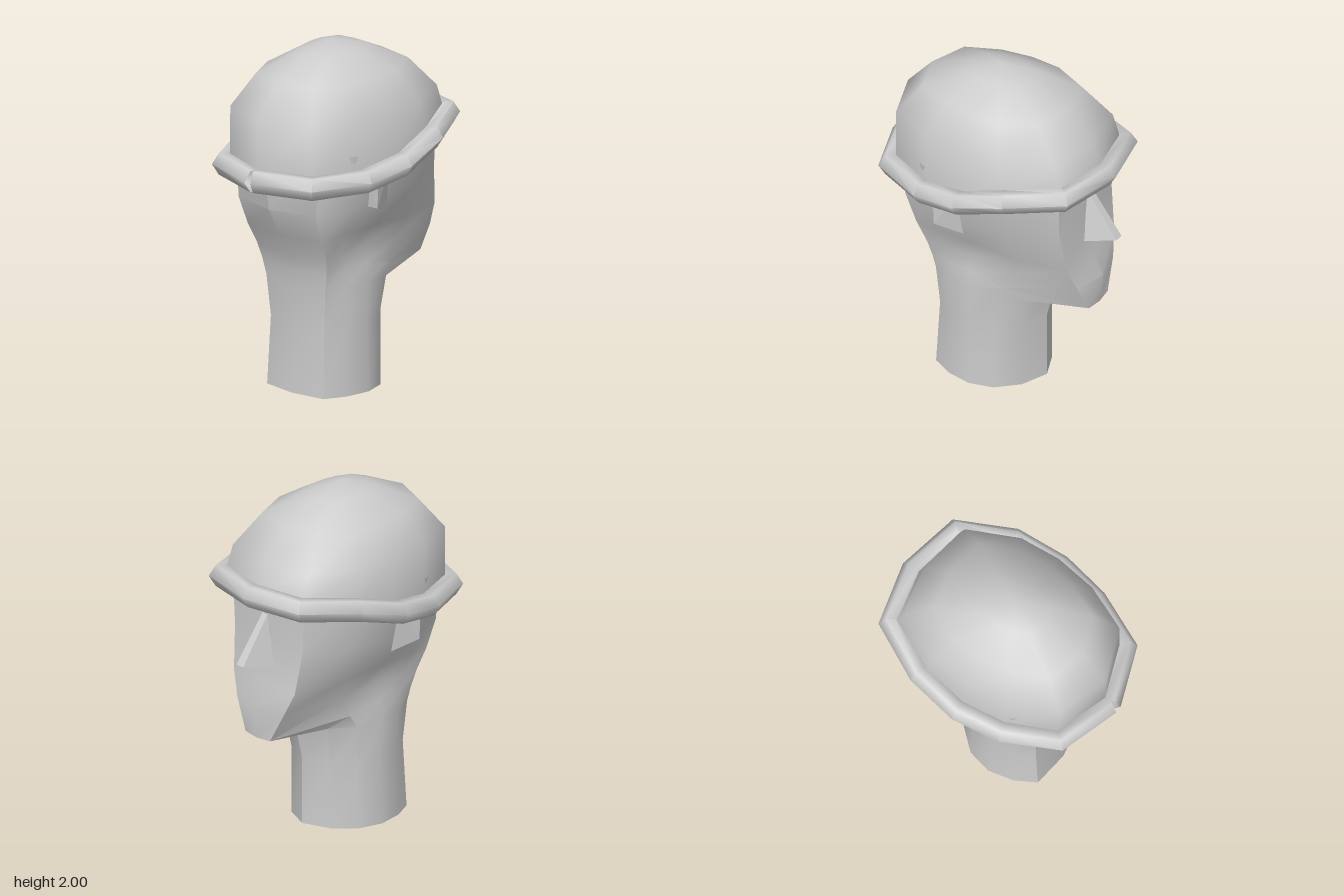
import * as THREE from 'three';
import { toCreasedNormals } from 'three/addons/utils/BufferGeometryUtils.js';
import { ConvexGeometry } from 'three/addons/geometries/ConvexGeometry.js';

const grey = new THREE.MeshStandardMaterial({ color: 0xcccccc, side: THREE.DoubleSide });
grey.name = 'plain grey';

// Skin a list of closed cross-sections, keeping edges sharper than the crease angle
function loft(rows, creaseDegrees) {
  const n = rows[0].length;
  const index = [];
  for (let r = 0; r < rows.length - 1; r++) {
    for (let c = 0; c < n; c++) {
      const a = r * n + c, b = r * n + (c + 1) % n;
      index.push(a, a + n, b, b, a + n, b + n);
    }
  }
  const geometry = new THREE.BufferGeometry();
  geometry.setAttribute('position', new THREE.Float32BufferAttribute(rows.flat(2), 3));
  geometry.setIndex(index);
  return toCreasedNormals(geometry, THREE.MathUtils.degToRad(creaseDegrees));
}

// Complete a half outline, running from face to nape, with its mirror image
function mirrored(half) {
  const other = half.slice(1, -1).reverse().map(([x, y, z]) => [-x, y, z]);
  return [...half, ...other];
}

function mesh(name, geometry) {
  const m = new THREE.Mesh(geometry, grey);
  m.name = name;
  return m;
}

// Vertical contours of the left half, each from neck base to under the cap
const contours = {
  middleFront: [[0, 0, -.265], [0, .4, -.265], [0, .58, -.31], [0, .62, -.61],
    [0, .8, -.63], [0, .94, -.57], [0, 1.2, -.555], [0, 1.46, -.54]],
  faceEdge: [[.16, 0, -.2], [.16, .4, -.2], [.18, .62, -.235], [.1, .625, -.6],
    [.19, .8, -.58], [.25, .94, -.55], [.28, 1.2, -.515], [.29, 1.46, -.52]],
  jaw: [[.27, 0, -.08], [.26, .4, -.08], [.27, .62, -.1], [.27, .7, -.15],
    [.268, .82, -.2], [.31, .95, -.23], [.4, 1.18, -.25], [.43, 1.46, -.25]],
  side: [[.305, 0, .06], [.29, .4, .06], [.3, .64, .06], [.285, .75, .06],
    [.275, .85, .06], [.32, .97, .05], [.42, 1.15, .03], [.46, 1.46, .03]],
  sideBack: [[.275, 0, .21], [.265, .4, .2], [.275, .64, .21], [.27, .74, .22],
    [.272, .84, .24], [.31, .97, .27], [.38, 1.14, .29], [.42, 1.46, .29]],
  backEdge: [[.21, 0, .33], [.2, .4, .31], [.22, .64, .325], [.24, .73, .335],
    [.26, .83, .36], [.275, .95, .42], [.29, 1.12, .48], [.3, 1.46, .48]],
  middleBack: [[0, 0, .36], [0, .4, .35], [0, .62, .365], [0, .72, .375],
    [0, .82, .4], [0, .95, .46], [0, 1.12, .55], [0, 1.46, .6]],
};

function headAndNeck() {
  const columns = Object.values(contours);
  const rows = columns[0].map((_, r) => mirrored(columns.map(c => c[r])));
  return mesh('headAndNeck', loft(rows, 32));
}

// Centre line of the rolled brim, half way round from forehead to nape
const brimHalf = [[0, 1.492, -.645], [.33, 1.487, -.575], [.475, 1.45, -.28],
  [.51, 1.365, 0], [.465, 1.32, .26], [.33, 1.317, .555], [0, 1.317, .665]];

function cap() {
  const plan = [[0, -.61], [.32, -.55], [.455, -.25], [.47, 0], [.43, .26], [.31, .53], [0, .64]];
  // Each level: height, scale, centre z; the lowest follows the brim
  const levels = [[null, 1, .015], [1.66, .965, .04], [1.84, .71, .045], [1.95, .32, .035], [2, 0, .04]];
  const rows = levels.map(([y, s, cz]) => mirrored(plan.map(([x, z], i) =>
    [x * s, y ?? brimHalf[i][1] + .02, cz + (z - .015) * s])));
  return mesh('cap', loft(rows, 60));
}

function brim() {
  // Section as (outward, up) offsets
  const section = [[.068, 0], [.03, -.062], [-.03, -.06], [-.06, 0], [-.03, .06], [.03, .062]];
  const path = [...brimHalf.slice(1).reverse().map(([x, y, z]) => [-x, y, z]), ...brimHalf];
  const rows = path.map(([x, y, z], i) => {
    const a = path[Math.max(i - 1, 0)], b = path[Math.min(i + 1, path.length - 1)];
    const out = new THREE.Vector2(b[2] - a[2], a[0] - b[0]).normalize();
    return section.map(([o, u]) => [x + out.x * o, y + u, z + out.y * o]);
  });
  return mesh('brim', loft(rows, 65));
}

const hull = points => new ConvexGeometry(points.map(p => new THREE.Vector3(...p)));

function nose() {
  const half = [[.02, 1.36, -.54], [.085, 1.05, -.54], [.027, 1.09, -.735]];
  return mesh('nose', hull([...half, ...half.map(([x, y, z]) => [-x, y, z])]));
}

function ear(side, name) {
  const points = [[.49, 1.34, .18], [.48, 1.14, .18], [.41, 1.085, .03], [.45, 1.34, .05],
    [.36, 1.34, .16], [.37, 1.13, .16]];
  return mesh(name, hull(points.map(([x, y, z]) => [x * side, y, z])));
}

export function createModel() {
  const group = new THREE.Group();
  group.name = 'headWithCap';
  group.add(headAndNeck(), cap(), brim(), nose(), ear(1, 'leftEar'), ear(-1, 'rightEar'));
  return group;
}
